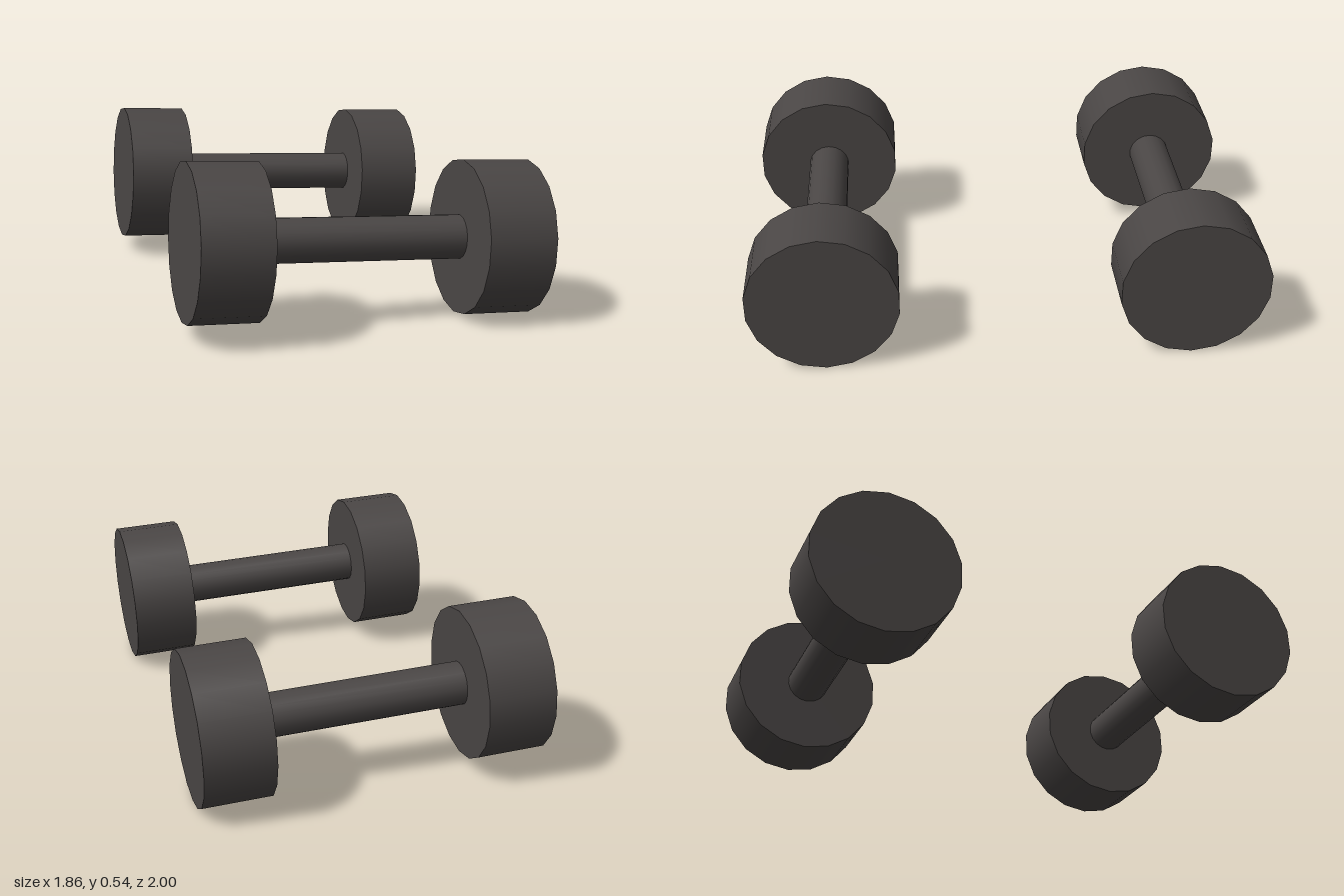
import * as THREE from 'three';

const SIDES = 18;
const HEAD_RADIUS = 0.245, HEAD_WIDTH = 0.22, HEAD_OFFSET = 0.44;
const HANDLE_RADIUS = 0.07;

// Cylinder lying along x, with a corner of its rim pointing straight up
function barX(radius, length) {
  return new THREE.CylinderGeometry(radius, radius, length, SIDES)
    .rotateY(Math.PI / 2)
    .rotateZ(-Math.PI / 2);
}

function createDumbbell(name, material) {
  const dumbbell = new THREE.Group();
  dumbbell.name = name;

  const handle = new THREE.Mesh(barX(HANDLE_RADIUS, 2 * HEAD_OFFSET - HEAD_WIDTH + 0.02), material);
  handle.name = 'handle';
  dumbbell.add(handle);

  // One weight at each end of the handle
  const headGeometry = barX(HEAD_RADIUS, HEAD_WIDTH);
  for (const [side, label] of [[-1, 'rightWeight'], [1, 'leftWeight']]) {
    const head = new THREE.Mesh(headGeometry, material);
    head.name = label;
    head.position.x = side * HEAD_OFFSET;
    dumbbell.add(head);
  }
  return dumbbell;
}

export function createModel() {
  const iron = new THREE.MeshStandardMaterial({ color: 0x4a4645 });
  iron.name = 'dark iron';

  const model = new THREE.Group();
  model.name = 'dumbbellPair';

  // Two parallel dumbbells, turned and slightly tipped towards one end
  for (const [side, name] of [[-1, 'backDumbbell'], [1, 'frontDumbbell']]) {
    const dumbbell = createDumbbell(name, iron);
    dumbbell.position.set(side * 0.339, 0.27, side * 0.488);
    dumbbell.rotation.set(0, THREE.MathUtils.degToRad(35), THREE.MathUtils.degToRad(-2.6));
    model.add(dumbbell);
  }
  return model;
}
